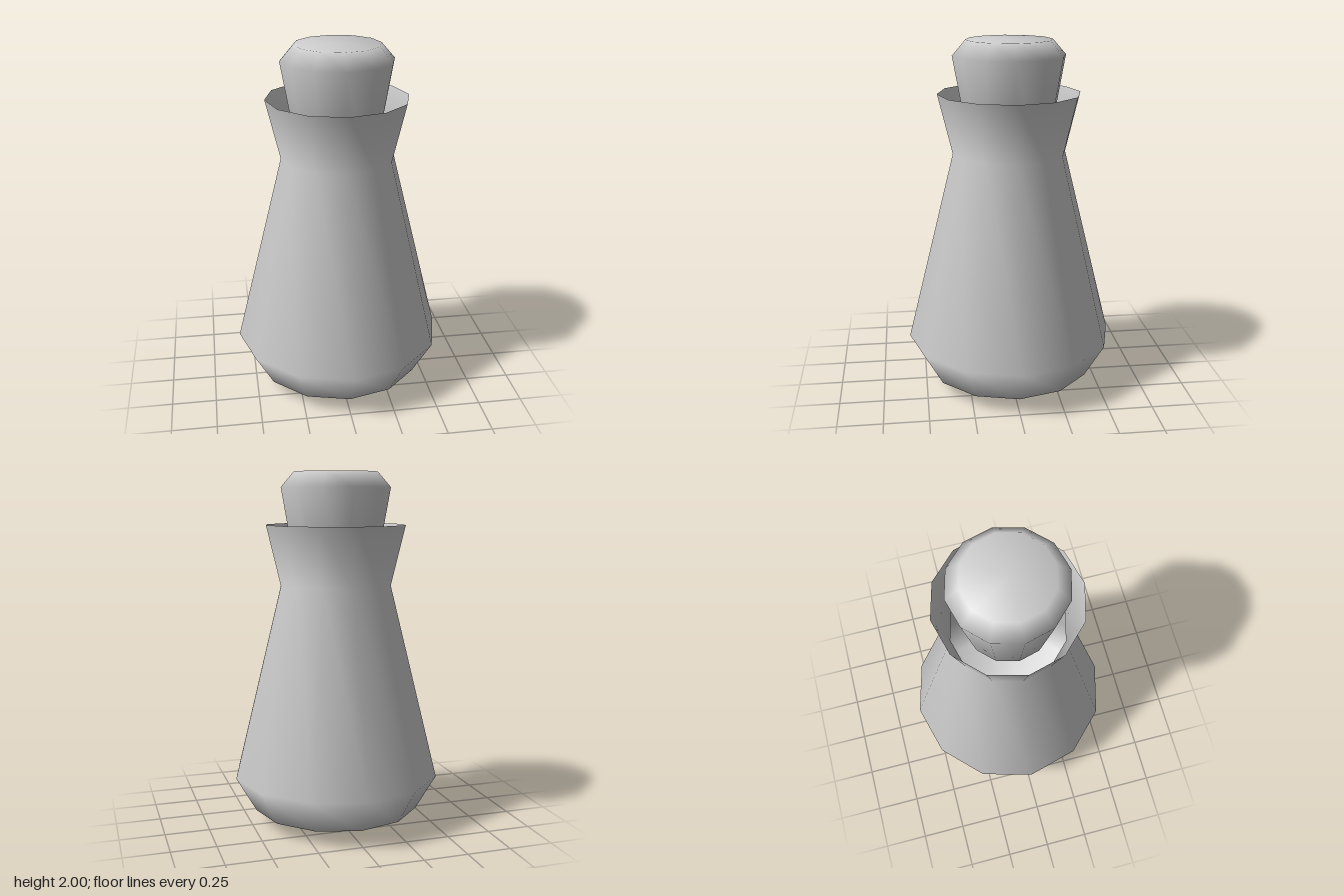
import * as THREE from 'three';
import { mergeVertices } from 'three/addons/utils/BufferGeometryUtils.js';

const SIDES = 12;

// Twelve-sided turned form with smooth normals; profile runs from bottom to top
function turned(name, profile, material) {
  const points = profile.map(([r, y]) => new THREE.Vector2(r, y));
  const lathe = new THREE.LatheGeometry(points, SIDES);
  lathe.deleteAttribute('normal');
  lathe.deleteAttribute('uv');
  const geometry = mergeVertices(lathe, 1e-4);
  geometry.computeVertexNormals();
  const mesh = new THREE.Mesh(geometry, material);
  mesh.name = name;
  return mesh;
}

export function createModel() {
  const group = new THREE.Group();
  group.name = 'flask';

  const grey = new THREE.MeshStandardMaterial({ color: 0xcccccc, side: THREE.DoubleSide });
  grey.name = 'light grey';

  // Thin-walled body with a flared, open neck
  group.add(turned('body', [
    [0, 0], [0.18, 0], [0.475, 0.085], [0.59, 0.285], [0.317, 1.375], [0.397, 1.71],
  ], grey));

  // Tapered stopper sitting inside the neck
  group.add(turned('stopper', [
    [0, 1.45], [0.23, 1.45], [0.312, 1.915], [0.238, 2], [0, 2],
  ], grey));

  return group;
}
